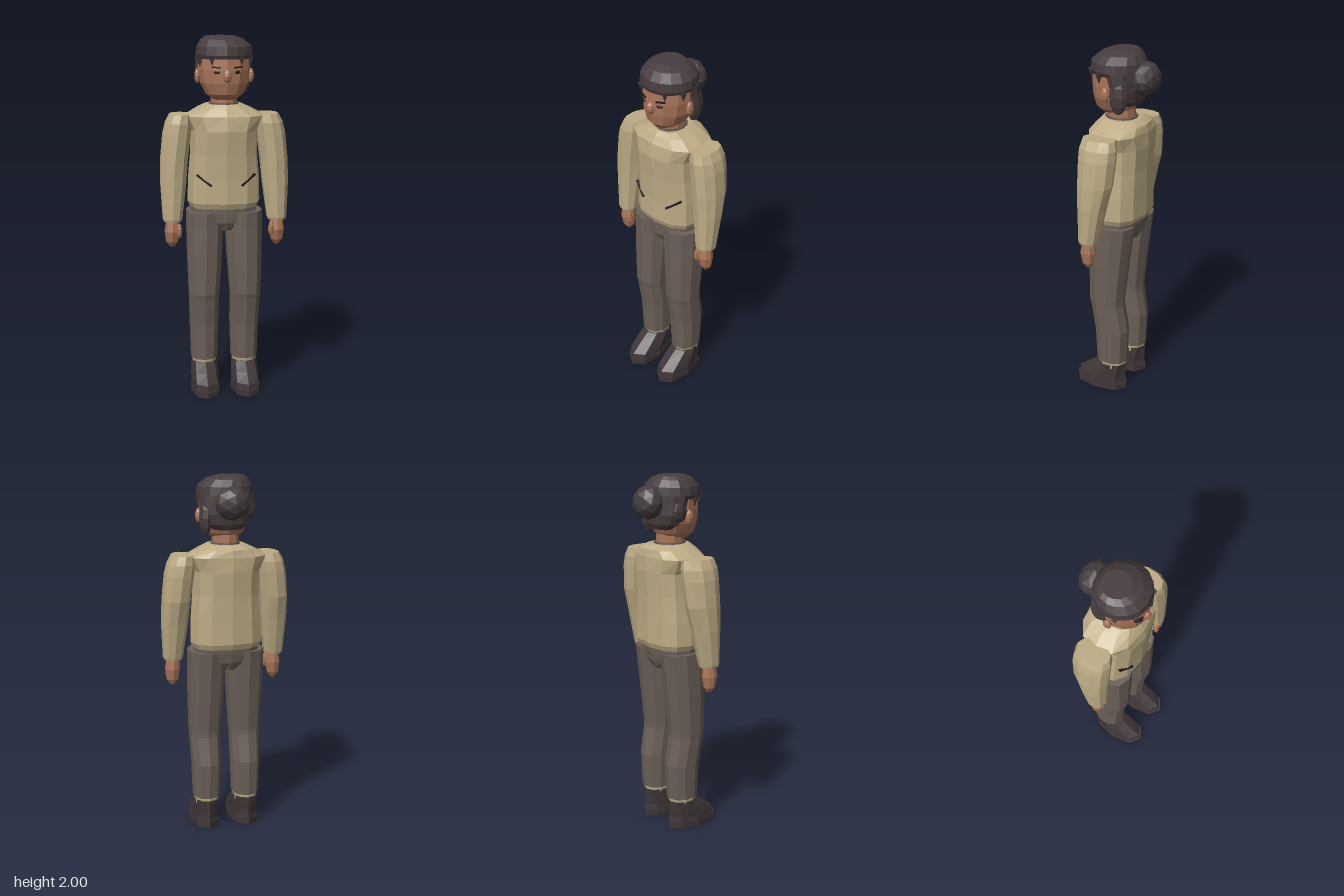
import * as THREE from 'three';

const mat = (name, color, extra = {}) => {
  const m = new THREE.MeshStandardMaterial({ color, flatShading: true, ...extra });
  m.name = name;
  return m;
};

// Closed loft through elliptical rings [y, cx, cz, rx, rz], listed bottom to top.
// A power below 1 makes the section boxier.
function loft(rings, sides = 10, power = 1, phase = 0) {
  const pos = [], idx = [];
  const bend = v => Math.sign(v) * Math.abs(v) ** power;
  for (const [y, cx, cz, rx, rz] of rings) {
    for (let j = 0; j < sides; j++) {
      const a = (j + phase) / sides * Math.PI * 2;
      pos.push(cx + rx * bend(Math.sin(a)), y, cz + rz * bend(Math.cos(a)));
    }
  }
  const top = (rings.length - 1) * sides;
  for (let j = 0; j < sides; j++) {
    const k = (j + 1) % sides;
    for (let i = 0; i < top; i += sides) {
      idx.push(i + j, i + k, i + sides + k, i + j, i + sides + k, i + sides + j);
    }
    if (j > 0 && j < sides - 1) idx.push(0, k, j, top, top + j, top + k);
  }
  const g = new THREE.BufferGeometry();
  g.setAttribute('position', new THREE.Float32BufferAttribute(pos, 3));
  g.setIndex(idx);
  g.computeVertexNormals();
  return g;
}

const blob = (rx, ry, rz, w = 8, h = 6) => new THREE.SphereGeometry(1, w, h).scale(rx, ry, rz);

export function createModel() {
  const model = new THREE.Group();
  model.name = 'person';
  const knit = mat('cream knit', 0xbcab84);
  const cloth = mat('brown trousers', 0x6c6058);
  const skin = mat('skin', 0xa87458);
  const hair = mat('dark hair', 0x463c3d);
  const leather = mat('shoe leather', 0x403637);
  const sock = mat('sock cream', 0xb5a97e);
  const trim = mat('collar trim', 0x5d554c);
  const ink = mat('eye dark', 0x1f1919);

  const add = (name, geometry, material, x = 0, y = 0, z = 0) => {
    const m = new THREE.Mesh(geometry, material);
    m.name = name;
    m.position.set(x, y, z);
    model.add(m);
    return m;
  };

  // Sweater body with hem and sloping yoke
  add('sweater', loft([
    [1.06, 0, -0.012, 0.19, 0.135], [1.09, 0, -0.012, 0.203, 0.147],
    [1.22, 0, -0.012, 0.2, 0.147], [1.36, 0, -0.01, 0.188, 0.152],
    [1.49, 0, -0.008, 0.188, 0.163], [1.57, 0, -0.012, 0.225, 0.155],
    [1.61, 0, -0.02, 0.15, 0.138], [1.632, 0, -0.012, 0.1, 0.11]], 12, 0.8), knit);
  add('collar', loft([[1.61, 0, -0.005, 0.088, 0.095], [1.64, 0, -0.005, 0.082, 0.09]], 12), trim);
  add('hips', loft([
    [0.935, 0, -0.005, 0.045, 0.1], [0.98, 0, -0.005, 0.13, 0.122],
    [1.03, 0, -0.008, 0.185, 0.128], [1.07, 0, -0.01, 0.186, 0.13]], 12, 0.8), cloth);

  for (const s of [1, -1]) {
    const side = s > 0 ? 'left' : 'right';

    // Arm
    add(side + 'Sleeve', loft([
      [0.985, s * 0.292, 0.035, 0.05, 0.052], [1.0, s * 0.292, 0.035, 0.056, 0.056],
      [1.2, s * 0.285, 0.015, 0.074, 0.08], [1.33, s * 0.278, 0, 0.078, 0.1],
      [1.47, s * 0.262, -0.005, 0.08, 0.107], [1.53, s * 0.252, -0.005, 0.075, 0.107],
      [1.578, s * 0.242, -0.005, 0.06, 0.095]], 10, 0.9), knit);
    add(side + 'Hand', loft([
      [0.842, s * 0.295, 0.035, 0.015, 0.014], [0.87, s * 0.295, 0.037, 0.034, 0.032],
      [0.93, s * 0.294, 0.04, 0.043, 0.044], [1.0, s * 0.292, 0.038, 0.034, 0.034]], 8), skin);
    add(side + 'Thumb', blob(0.016, 0.042, 0.018, 6, 5), skin, s * 0.257, 0.935, 0.068);

    // Pocket slit
    const a = new THREE.Vector3(s * 0.08, 1.193, 0.122), b = new THREE.Vector3(s * 0.158, 1.252, 0.089);
    const slit = add(side + 'Pocket', new THREE.BoxGeometry(0.03, 0.009, a.distanceTo(b)), ink);
    slit.position.copy(a).add(b).multiplyScalar(0.5);
    slit.lookAt(b);

    // Trouser leg, bent slightly at the knee
    add(side + 'TrouserLeg', loft([
      [0.18, s * 0.115, -0.008, 0.076, 0.088], [0.38, s * 0.115, -0.008, 0.082, 0.098],
      [0.54, s * 0.117, 0.018, 0.086, 0.096], [0.57, s * 0.117, 0.022, 0.088, 0.1],
      [0.8, s * 0.112, 0.01, 0.1, 0.115], [0.95, s * 0.11, 0, 0.104, 0.125],
      [1.04, s * 0.109, -0.005, 0.105, 0.133]], 10, 0.88), cloth);
    add(side + 'Sock', loft([
      [0.14, s * 0.115, -0.008, 0.068, 0.08], [0.188, s * 0.115, -0.008, 0.072, 0.084]], 10), sock);

    // Shoe with sole
    add(side + 'Shoe', loft([
      [0.03, s * 0.115, 0.06, 0.081, 0.157], [0.068, s * 0.115, 0.058, 0.08, 0.152],
      [0.115, s * 0.115, 0.026, 0.078, 0.122], [0.162, s * 0.115, -0.008, 0.072, 0.09]], 8, 0.9), leather);
    add(side + 'Sole', loft([
      [0, s * 0.115, 0.062, 0.083, 0.163], [0.035, s * 0.115, 0.062, 0.084, 0.165]], 8, 0.9), leather);

    // Ear, eye and brow
    add(side + 'Ear', blob(0.017, 0.04, 0.024), skin, s * 0.147, 1.785, 0.015);
    add(side + 'Eye', blob(0.018, 0.009, 0.006), ink, s * 0.055, 1.812, 0.144).rotation.y = s * 0.4;
    const brow = add(side + 'Brow', new THREE.BoxGeometry(0.05, 0.007, 0.009), ink, s * 0.06, 1.838, 0.142);
    brow.rotation.set(0, s * 0.4, s * 0.08);

    // Pointed fringe locks
    const lock = new THREE.ConeGeometry(0.02, 0.055, 5).rotateX(Math.PI);
    add(side + 'FringeLock', lock, hair, s * 0.08, 1.872, 0.132);
    add(side + 'TempleLock', lock, hair, s * 0.137, 1.862, 0.055);
  }

  // Neck and head
  add('neck', loft([[1.6, 0, -0.005, 0.075, 0.08], [1.72, 0, -0.005, 0.072, 0.075]], 10), skin);
  add('head', loft([
    [1.66, 0, 0.03, 0.065, 0.08], [1.69, 0, 0.025, 0.105, 0.112],
    [1.75, 0, 0.018, 0.134, 0.132], [1.82, 0, 0.014, 0.144, 0.139],
    [1.92, 0, 0.01, 0.142, 0.136]], 12), skin);
  add('nose', blob(0.023, 0.036, 0.026), skin, 0, 1.79, 0.15);

  // Hair: cap, back, side locks and bun
  add('hairCap', loft([
    [1.88, 0, 0.01, 0.148, 0.145], [1.9, 0, 0.01, 0.157, 0.151],
    [1.945, 0, 0.01, 0.152, 0.146], [1.982, -0.01, 0, 0.118, 0.112],
    [2.0, -0.022, -0.01, 0.078, 0.08]], 16), hair);
  add('backHair', loft([
    [1.715, 0, -0.065, 0.08, 0.05], [1.745, 0, -0.055, 0.125, 0.075],
    [1.8, 0, -0.045, 0.152, 0.092], [1.9, 0, -0.025, 0.155, 0.115]], 12), hair);
  add('leftSideLock', blob(0.034, 0.1, 0.055), hair, 0.122, 1.778, -0.05);
  add('rightSideLock', blob(0.03, 0.065, 0.05), hair, -0.126, 1.82, -0.04);
  add('bun', new THREE.IcosahedronGeometry(1, 1).scale(0.097, 0.092, 0.078), hair, 0, 1.862, -0.152);
  return model;
}
